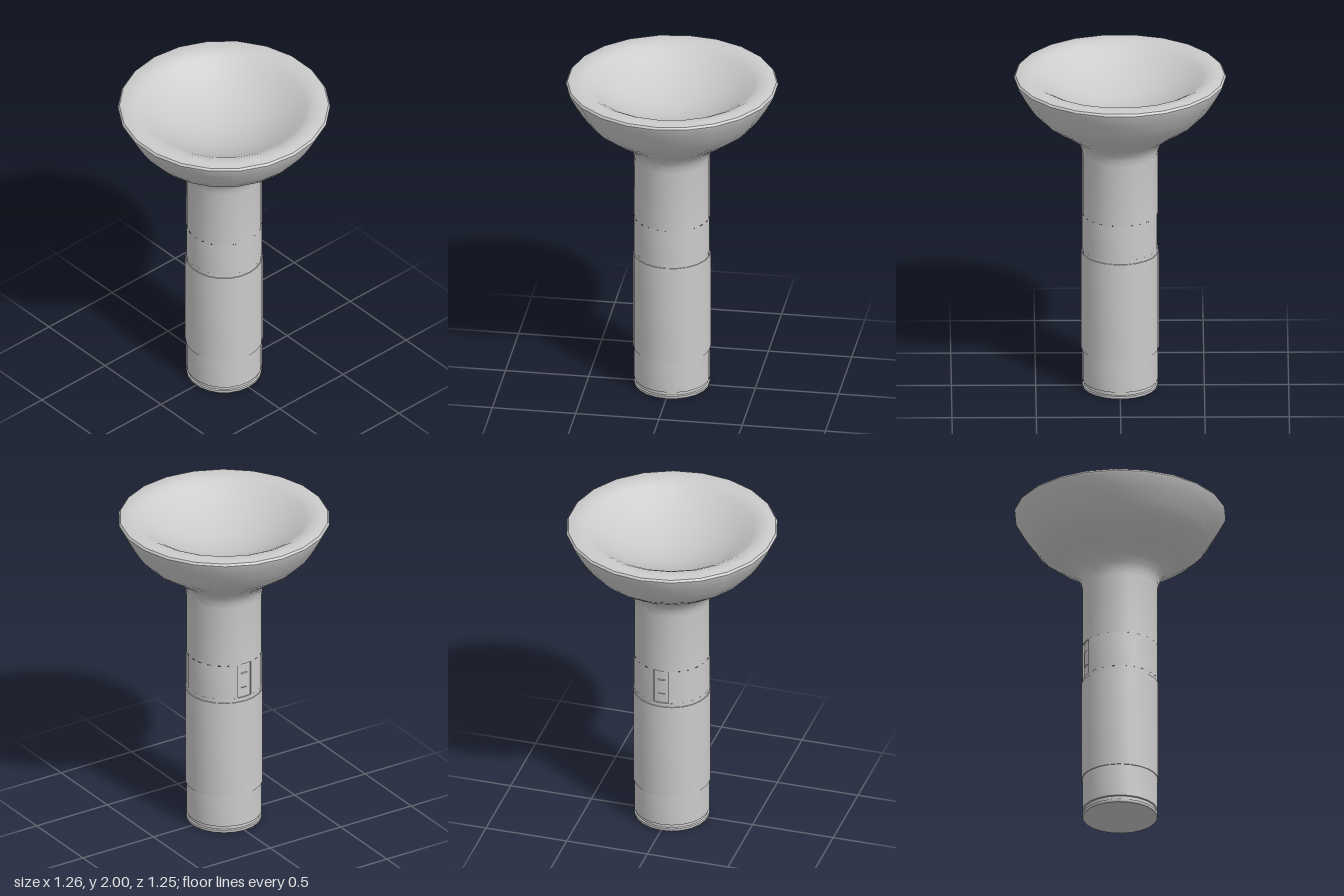
import * as THREE from 'three';
import { toCreasedNormals } from 'three/addons/utils/BufferGeometryUtils.js';

const SIDES = 22;
const SLOT_ANGLE = 1.5 * Math.PI; // switch slot faces -x
const SLOT_HALF = 0.21;
const SLOT_LOW = 0.89, SLOT_HIGH = 1.11;
const R = 0.225, R_SLOT = 0.216;

const material = new THREE.MeshStandardMaterial({ color: 0xcccccc });

// Revolve [radius, height] pairs around y
function turned(name, profile, start = Math.PI / 2, sweep = Math.PI * 2, sides = SIDES) {
  const points = profile.map(([r, y]) => new THREE.Vector2(r, y));
  const geometry = new THREE.LatheGeometry(points, sides, start, sweep);
  const mesh = new THREE.Mesh(toCreasedNormals(geometry, 0.65), material);
  mesh.name = name;
  return mesh;
}

export function createModel() {
  const torch = new THREE.Group();
  torch.name = 'flashlight';

  // End cap with a narrow groove, and the lower tube
  torch.add(turned('endCap', [
    [0, 0], [0.222, 0], [R, 0.004], [R, 0.018], [0.217, 0.022], [0.217, 0.04], [R, 0.043],
    [R, 0.245],
  ]));

  // Slightly thicker grip sleeve
  torch.add(turned('gripSleeve', [[R, 0.245], [0.23, 0.245], [0.23, 0.865], [R, 0.865]]));

  // Tube below, around and behind the switch slot
  torch.add(turned('lowerTube', [[R, 0.865], [R, SLOT_LOW], [R_SLOT, SLOT_LOW]]));
  torch.add(turned('slottedTube', [[R, SLOT_LOW], [R, SLOT_HIGH]],
    SLOT_ANGLE + SLOT_HALF, Math.PI * 2 - 2 * SLOT_HALF));
  torch.add(turned('slotFloor', [[R_SLOT, SLOT_LOW], [R_SLOT, SLOT_HIGH]],
    SLOT_ANGLE - SLOT_HALF, 2 * SLOT_HALF, 4));

  // Side walls of the slot
  for (const side of [-1, 1]) {
    const angle = SLOT_ANGLE + side * SLOT_HALF;
    const wall = new THREE.Mesh(
      new THREE.BoxGeometry(0.001, SLOT_HIGH - SLOT_LOW, R - R_SLOT), material);
    const mid = (R + R_SLOT) / 2;
    wall.position.set(mid * Math.sin(angle), (SLOT_LOW + SLOT_HIGH) / 2, mid * Math.cos(angle));
    wall.rotation.y = angle;
    wall.name = 'slotWall';
    torch.add(wall);
  }

  // Raised switch in the slot
  torch.add(turned('switch', [
    [R_SLOT, 0.95], [0.22, 0.955], [0.22, 1.045], [R_SLOT, 1.05],
  ], SLOT_ANGLE - 0.1, 0.2, 4));

  // Upper tube flaring into the head, rounded rim and shallow bowl
  const head = [
    [R_SLOT, SLOT_HIGH], [R, SLOT_HIGH], [R, 1.49], [0.231, 1.53], [0.245, 1.565], [0.275, 1.6],
    [0.34, 1.647], [0.41, 1.694], [0.475, 1.742], [0.52, 1.79], [0.553, 1.838], [0.585, 1.89],
    [0.626, 1.965], [0.63, 1.98], [0.62, 1.993], [0.58, 2], [0.53, 1.998], [0.49, 1.977],
  ];
  const bowlRadius = 0.49, bowlDepth = 0.17, steps = 7;
  for (let i = 1; i <= steps; i++) {
    const t = 1 - i / steps;
    head.push([bowlRadius * t, 1.977 - bowlDepth * (1 - t * t)]);
  }
  torch.add(turned('head', head));

  return torch;
}
